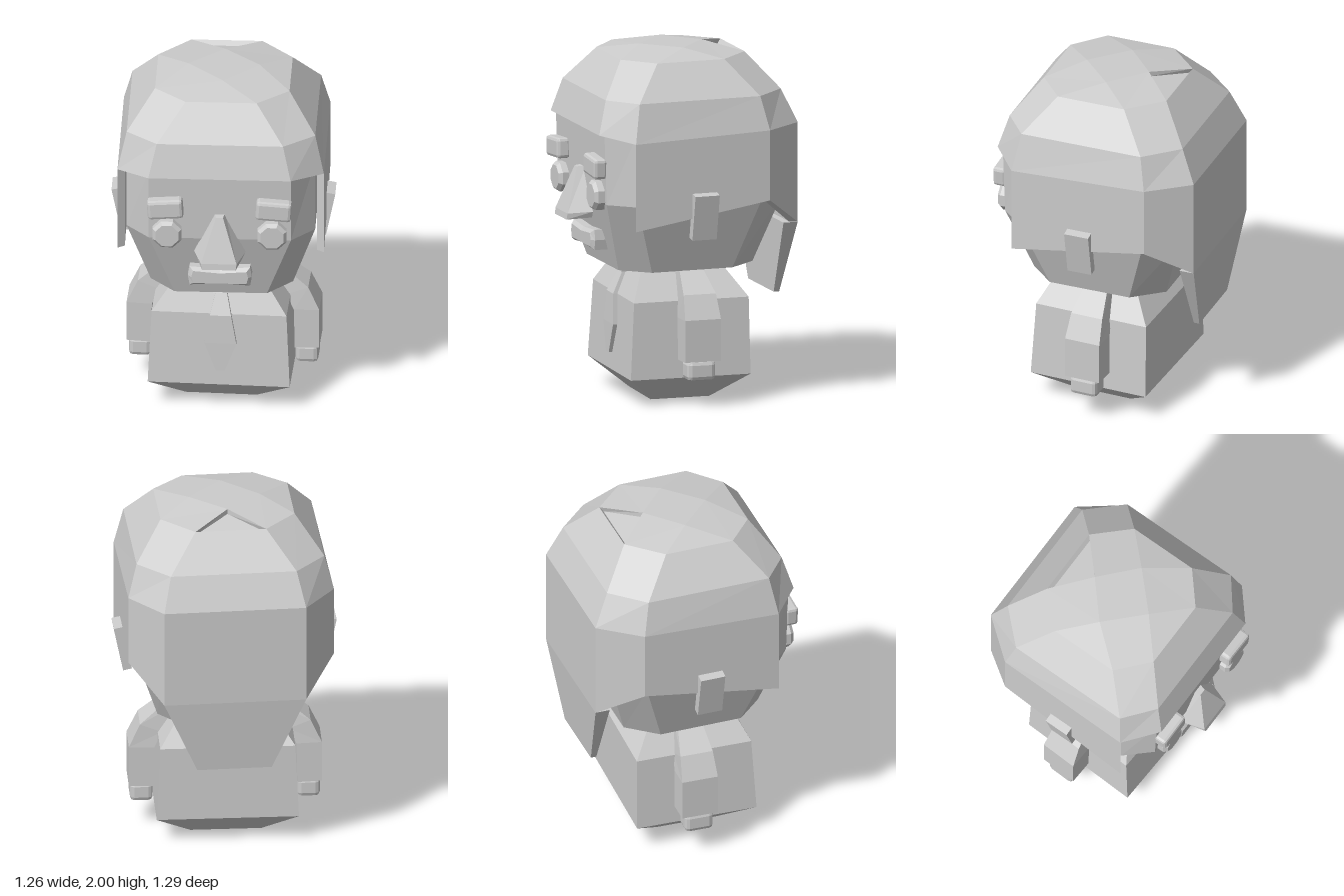
import * as THREE from 'three';
import { RoundedBoxGeometry } from 'three/addons/geometries/RoundedBoxGeometry.js';

const clay = new THREE.MeshStandardMaterial({ color: 0xcccccc, flatShading: true, side: THREE.DoubleSide });
clay.name = 'light grey';

// Skins a list of equal-length rings of [x, y, z] points; skip drops one side of the last band
function loft(rings, { bottom = true, top = true, skip = -1 } = {}) {
  const out = [];
  const tri = (a, b, c) => {
    const [p, q, r] = [a, b, c].map((v) => new THREE.Vector3(...v));
    const area = q.clone().sub(p).cross(r.clone().sub(p)).length();
    if (area > 1e-7) out.push(...a, ...b, ...c);
  };
  const n = rings[0].length;
  const last = rings.length - 1;
  for (let i = 0; i < last; i++) {
    for (let j = 0; j < n; j++) {
      if (i === last - 1 && j === skip) continue;
      const k = (j + 1) % n;
      const [lo, hi] = [rings[i], rings[i + 1]];
      tri(lo[j], lo[k], hi[k]);
      tri(lo[j], hi[k], hi[j]);
    }
  }
  for (let j = 1; j < n - 1; j++) {
    if (bottom) tri(rings[0][0], rings[0][j + 1], rings[0][j]);
    if (top) tri(rings[last][0], rings[last][j], rings[last][j + 1]);
  }
  const g = new THREE.BufferGeometry();
  g.setAttribute('position', new THREE.Float32BufferAttribute(out, 3));
  g.computeVertexNormals();
  return g;
}

function add(parent, name, geometry, x = 0, y = 0, z = 0) {
  const m = new THREE.Mesh(geometry, clay);
  m.name = name;
  m.position.set(x, y, z);
  parent.add(m);
  return m;
}

// Chamfered rectangle: half width, front, back, front-edge half length, side-edge half length
const octagon = (y, hx, f, b, cx, cz, yCorner = y) => [
  [-cx, y, f], [cx, y, f], [hx, yCorner, cz], [hx, y, -cz],
  [cx, y, -b], [-cx, y, -b], [-hx, y, -cz], [-hx, yCorner, cz],
];
const rectangle = (y, hx, f, b) => [[-hx, y, f], [hx, y, f], [hx, y, -b], [-hx, y, -b]];
const inward = (ring, s) => ring.map(([x, y, z]) => [x * s, y, z * s]);
const mirror = (ring) => ring.map(([x, y, z]) => [-x, y, z]).reverse();

function buildHair(head) {
  // Faceted cap, closing onto a diamond at the crown
  const brim = octagon(1.57, 0.58, 0.555, 0.63, 0.4, 0.4, 1.54);
  const crown = octagon(1.955, 0.378, 0.355, 0.385, 0.2, 0.2);
  const [F, R, B, L] = [[0, 2, 0.175], [0.2, 2, -0.02], [0, 2, -0.2], [-0.2, 2, -0.02]];
  add(head, 'hairCap', loft([
    inward(brim, 0.9), brim,
    octagon(1.76, 0.53, 0.5, 0.545, 0.355, 0.36),
    crown, [F, F, R, R, B, B, L, L],
  ], { bottom: false, skip: 4 }));

  // Sunken triangle behind the crown
  const notch = [B, crown[5], crown[4]];
  const floor = [[0, 1.97, -0.2], [-0.19, 1.93, -0.365], [0.19, 1.93, -0.365]];
  add(head, 'crownNotch', loft([floor, notch], { top: false }));

  // Hanging slabs at the sides and back
  const side = [[0.58, 1.54, 0.4], [0.58, 1.04, 0.4], [0.58, 1.17, -0.4], [0.58, 1.57, -0.4]];
  const corner = [[0.58, 1.57, -0.4], [0.58, 1.17, -0.4], [0.4, 1.0, -0.63], [0.4, 1.57, -0.63]];
  const back = [[0.4, 1.57, -0.63], [0.4, 1.0, -0.63], [-0.4, 1.0, -0.63], [-0.4, 1.57, -0.63]];
  const slab = (name, ring) => add(head, name, loft([inward(ring, 0.93), ring]));
  slab('hairSideLeft', side);
  slab('hairSideRight', mirror(side));
  slab('hairCornerLeft', corner);
  slab('hairCornerRight', mirror(corner));
  slab('hairBack', back);
  add(head, 'hairTail', loft([rectangle(0.57, 0.21, -0.555, 0.588), rectangle(1.0, 0.4, -0.545, 0.63)]));
}

function buildFace(head) {
  // Eight-sided bevelled eye, turned to face forward
  const eye = new THREE.LatheGeometry(
    [[0.088, 0], [0.088, 0.06], [0.07, 0.08], [0, 0.08]].map(([r, h]) => new THREE.Vector2(r, h)), 8);
  eye.rotateY(Math.PI / 8).rotateX(Math.PI / 2);
  for (const [s, tag] of [[1, 'Left'], [-1, 'Right']]) {
    add(head, 'eye' + tag, eye, s * 0.295, 1.212, 0.49);
    add(head, 'eyebrow' + tag, new RoundedBoxGeometry(0.2, 0.115, 0.08, 1, 0.018), s * 0.305, 1.38, 0.545)
      .rotation.z = -s * 0.07;
    add(head, 'ear' + tag, new THREE.BoxGeometry(0.05, 0.265, 0.145), s * 0.578, 1.103, -0.01)
      .rotation.z = -s * 0.2;
  }

  // Wedge nose, widening and coming forward toward its base
  const noseRing = (y, wBack, wFront, front, dy) => [
    [-wFront, y, front], [wFront, y, front], [wBack, y + dy, 0.5], [-wBack, y + dy, 0.5]];
  add(head, 'nose', loft([
    noseRing(1.04, 0.13, 0.095, 0.64, 0.01),
    noseRing(1.075, 0.145, 0.1, 0.635, 0.01),
    noseRing(1.325, 0.03, 0.02, 0.55, 0.005),
  ]));

  // Bevelled mouth bar with a slight downward pinch
  const lip = (z, w, h) => [
    [-w, -h, z], [0, -h + 0.012, z], [w, -h, z], [w + 0.01, 0, z],
    [w, h, z], [0, h - 0.012, z], [-w, h, z], [-w - 0.01, 0, z]];
  add(head, 'mouth', loft([lip(0.4, 0.17, 0.058), lip(0.5, 0.17, 0.058), lip(0.52, 0.15, 0.038)]), 0, 0.928, 0);
}

function buildArm(tag, s) {
  const arm = new THREE.Group();
  arm.name = 'arm' + tag;
  const ring = (xi, yi, xo, yo, f, b) => [[xi, yi, f], [xo, yo, f], [xo, yo, -b], [xi, yi, -b]];
  add(arm, 'sleeve', loft([
    ring(0.405, 0.26, 0.543, 0.265, 0.07, 0.14),
    ring(0.4, 0.5, 0.543, 0.505, 0.07, 0.14),
    ring(0.355, 0.59, 0.48, 0.64, 0.06, 0.13),
    ring(0.26, 0.752, 0.34, 0.755, 0.04, 0.1),
  ]));
  add(arm, 'hand', new RoundedBoxGeometry(0.128, 0.115, 0.165, 1, 0.025), 0.47, 0.21, -0.033);
  arm.scale.x = s;
  return arm;
}

export function createModel() {
  const model = new THREE.Group();
  model.name = 'figure';

  // Head, turned a touch to one side
  const head = new THREE.Group();
  head.name = 'head';
  head.rotation.y = 0.04;
  model.add(head);
  add(head, 'skull', loft([
    octagon(0.765, 0.4, 0.39, 0.41, 0.26, 0.24),
    octagon(1.17, 0.53, 0.51, 0.54, 0.4, 0.37),
    octagon(1.6, 0.53, 0.525, 0.54, 0.4, 0.37),
  ]));
  buildHair(head);
  buildFace(head);

  // Torso with tapered base
  add(model, 'torso', loft([
    rectangle(0, 0.2, 0.165, 0.18),
    rectangle(0.153, 0.4, 0.345, 0.36),
    rectangle(0.59, 0.38, 0.32, 0.355),
    rectangle(0.755, 0.26, 0.24, 0.24),
  ]));

  // Tie following the chest
  const tieRows = [[0.25, 0.025, 0.36], [0.42, 0.09, 0.355], [0.59, 0.06, 0.345], [0.715, 0.03, 0.28]];
  add(model, 'tie', loft(tieRows.map(([y, w, z]) => rectangle(y, w, z, 0.04 - z))), 0.01);
  add(model, 'tieKnot', loft([rectangle(0.71, 0.045, 0.295, -0.24), rectangle(0.75, 0.05, 0.27, -0.22)]), 0.01);

  model.add(buildArm('Left', 1), buildArm('Right', -1));
  return model;
}
